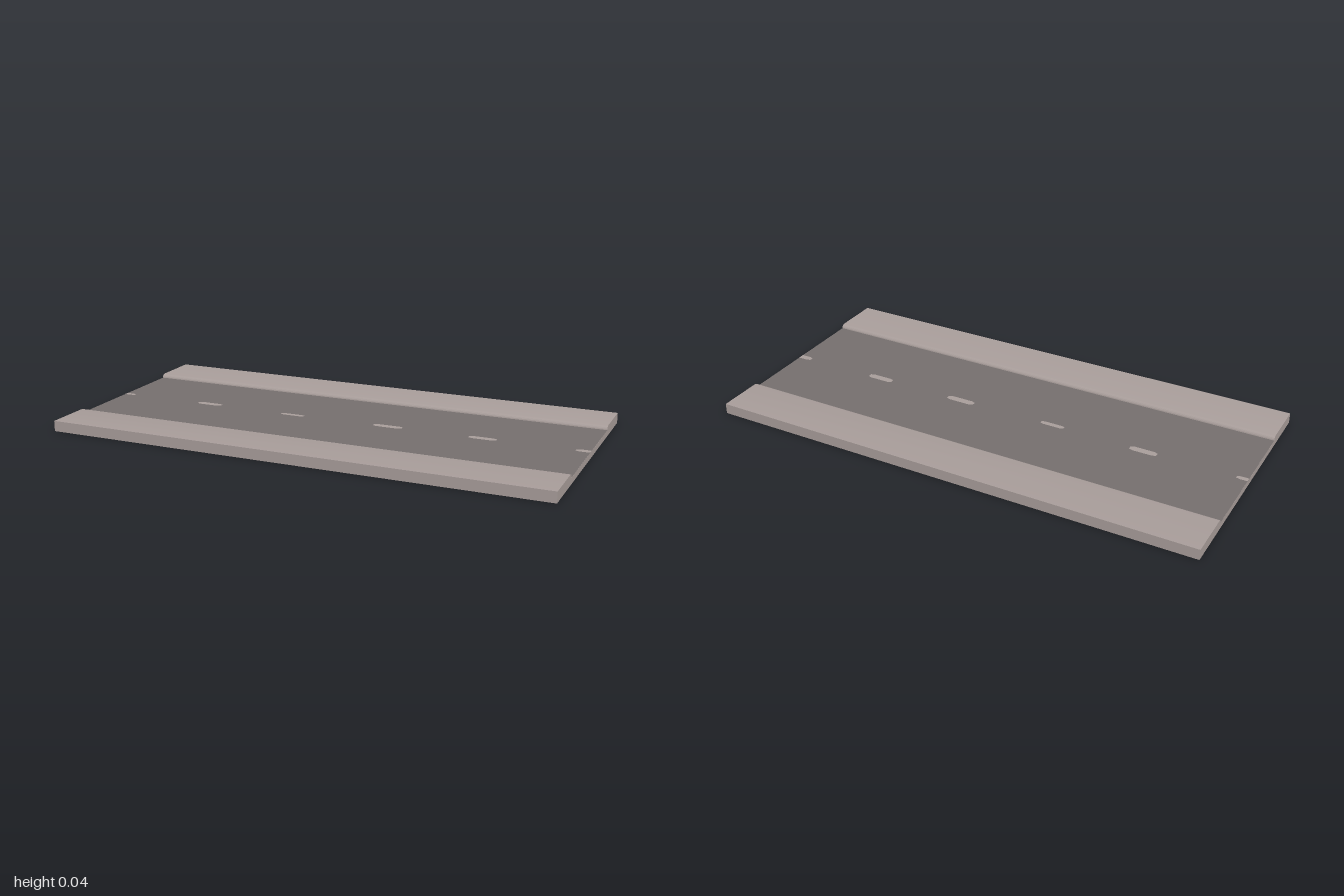
import * as THREE from 'three';
import { toCreasedNormals } from 'three/addons/utils/BufferGeometryUtils.js';

const LENGTH = 2, HALF = 0.5, CURB = 0.3;
const ROAD_Y = 0.026, TOP_Y = 0.042, RADIUS = 0.016;

function named(name, geometry, material) {
  const mesh = new THREE.Mesh(geometry, material);
  mesh.name = name;
  return mesh;
}

export function createModel() {
  const group = new THREE.Group();
  group.name = 'roadSection';

  const paving = new THREE.MeshStandardMaterial({ color: 0xa79c99 });
  paving.name = 'paving';
  const asphalt = new THREE.MeshStandardMaterial({ color: 0x746e6d });
  asphalt.name = 'asphalt';

  // Slab with raised pavements and rounded kerbs, as one cross-section
  const bed = ROAD_Y - 0.0005;
  const s = new THREE.Shape();
  s.moveTo(-HALF, 0);
  s.lineTo(HALF, 0);
  s.lineTo(HALF, TOP_Y);
  s.lineTo(CURB + RADIUS + 0.004, TOP_Y);
  s.quadraticCurveTo(CURB, TOP_Y, CURB, bed);
  s.lineTo(-CURB, bed);
  s.quadraticCurveTo(-CURB, TOP_Y, -CURB - RADIUS - 0.004, TOP_Y);
  s.lineTo(-HALF, TOP_Y);
  s.closePath();
  const slab = new THREE.ExtrudeGeometry(s, { depth: LENGTH, bevelEnabled: false, curveSegments: 5 });
  slab.translate(0, 0, -LENGTH / 2);
  slab.rotateY(Math.PI / 2);
  group.add(named('pavementSlab', toCreasedNormals(slab, 0.6), paving));

  // Road surface
  const road = new THREE.PlaneGeometry(LENGTH, CURB * 2);
  road.rotateX(-Math.PI / 2);
  road.translate(0, ROAD_Y, 0);
  group.add(named('roadSurface', road, asphalt));

  // Worn centre dashes: [start x, end x, centre z, half width]
  const dashes = [
    [-1, -0.955, -0.005, 0.01],
    [-0.645, -0.535, -0.007, 0.014],
    [-0.255, -0.155, 0, 0.01],
    [0.145, 0.265, -0.005, 0.014],
    [0.535, 0.645, -0.005, 0.014],
    [0.945, 1, -0.007, 0.013],
  ];
  dashes.forEach(([a, b, z, w], i) => {
    const c = 0.015;
    const left = a <= -1 ? 0 : c, right = b >= 1 ? 0 : c;
    const d = new THREE.Shape([
      [a, -w * 0.6], [a + left, -w], [b - right, -w], [b, -w * 0.6],
      [b, w * 0.6], [b - right, w], [a + left, w], [a, w * 0.6],
    ].map(([x, y]) => new THREE.Vector2(x, y)));
    const geo = new THREE.ShapeGeometry(d);
    geo.rotateX(-Math.PI / 2);
    geo.translate(0, ROAD_Y + 0.0005, z);
    group.add(named(`centreDash${i + 1}`, geo, paving));
  });

  return group;
}
